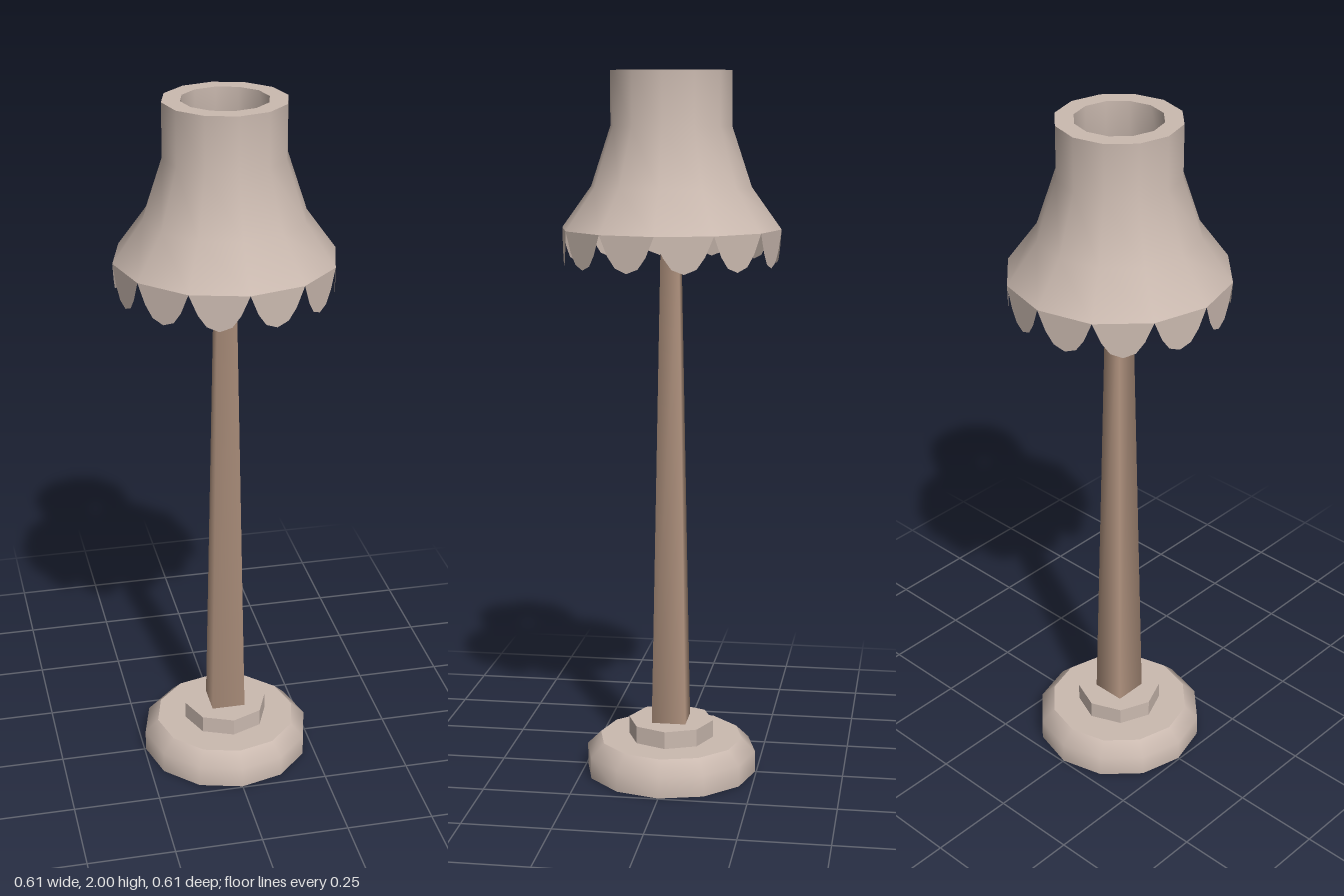
import * as THREE from 'three';

const SIDES = 12;

export function createModel() {
  const model = new THREE.Group();
  model.name = 'floorLamp';

  const cream = new THREE.MeshStandardMaterial({ color: 0xcbbab0, side: THREE.DoubleSide });
  cream.name = 'warm cream';
  const wood = new THREE.MeshStandardMaterial({ color: 0xb29480, side: THREE.DoubleSide });
  wood.name = 'pale wood';

  const add = (name, geometry, material, parent = model) => {
    const mesh = new THREE.Mesh(geometry, material);
    mesh.name = name;
    parent.add(mesh);
    return mesh;
  };
  // A repeated profile point makes a sharp edge
  const lathe = (points) =>
    new THREE.LatheGeometry(points.map(([r, y]) => new THREE.Vector2(r, y)), SIDES);

  // Foot with a bevelled upper rim
  add('base', lathe([
    [0, 0], [0.246, 0], [0.246, 0], [0.246, 0.062], [0.207, 0.1], [0.207, 0.1], [0, 0.1],
  ]), cream);

  // Eight-sided step on the foot
  const plinthGeometry = new THREE.CylinderGeometry(0.123, 0.123, 0.05, 8).toNonIndexed();
  plinthGeometry.computeVertexNormals();
  add('plinth', plinthGeometry, cream).position.y = 0.125;

  // Tapered square post, open at the hidden top
  const post = add('post',
    new THREE.CylinderGeometry(0.026 * Math.SQRT2, 0.049 * Math.SQRT2, 1.35, 4, 1, true), wood);
  post.position.y = 0.825;
  post.rotation.y = Math.PI / 4;

  // Flared shade: outer wall, flat top ring, inner wall
  const rim = 0.307, rimY = 1.57;
  const shade = new THREE.Group();
  shade.name = 'lampshade';
  model.add(shade);
  add('shadeWall', lathe([
    [rim, rimY], [0.224, 1.685], [0.169, 1.85], [0.169, 2], [0.169, 2],
    [0.119, 2], [0.119, 2], [0.119, 1.85], [0.18, 1.685], [rim, rimY],
  ]), cream, shade);

  // One scalloped flap hanging from each side of the rim
  const half = rim * Math.sin(Math.PI / SIDES);
  const flap = new THREE.Shape([
    [-half, 0], [-0.056, -0.055], [-0.033, -0.087], [0, -0.1],
    [0.033, -0.087], [0.056, -0.055], [half, 0],
  ].map(([x, y]) => new THREE.Vector2(x, y)));
  const flapGeometry = new THREE.ShapeGeometry(flap);
  const apothem = rim * Math.cos(Math.PI / SIDES);
  for (let i = 0; i < SIDES; i++) {
    const angle = ((i + 0.5) / SIDES) * Math.PI * 2;
    const mesh = add('scallop', flapGeometry, cream, shade);
    mesh.position.set(Math.sin(angle) * apothem, rimY, Math.cos(angle) * apothem);
    mesh.rotation.y = angle;
  }

  return model;
}
